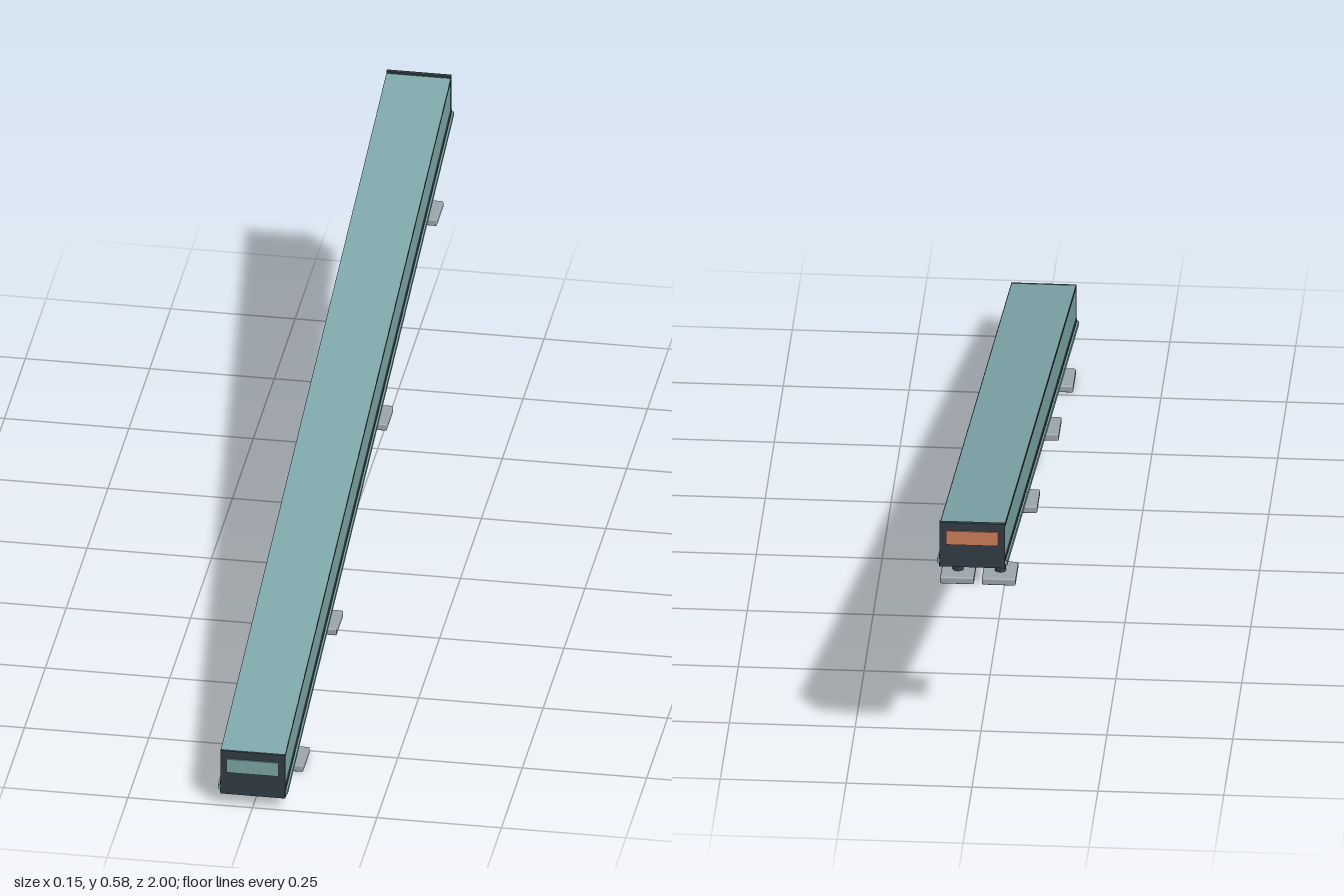
import * as THREE from 'three';
import { RoundedBoxGeometry } from 'three/addons/geometries/RoundedBoxGeometry.js';

const SLOPE = 0.23; // rise per unit towards the back
const BASE = 0.255; // underside height at z = 0
const underside = z => BASE - SLOPE * z;

export function createModel() {
  const group = new THREE.Group();
  const mat = color => new THREE.MeshStandardMaterial({ color });
  const teal = mat(0x7fa8ab), dark = mat(0x343e47), under = mat(0x2a3136);
  const grey = mat(0x9ca7ad), orange = mat(0xd0805c);

  const add = (name, geometry, material, x = 0, y = 0, z = 0) => {
    const mesh = new THREE.Mesh(geometry, material);
    mesh.name = name;
    mesh.position.set(x, y, z);
    group.add(mesh);
  };

  // Box with vertical ends whose long faces follow the slope; y0, y1 are above the underside
  const sloped = (name, material, x, width, y0, y1, z0 = -0.994, z1 = 0.994) => {
    const g = new THREE.BoxGeometry(width, y1 - y0, z1 - z0);
    g.translate(x, (y0 + y1) / 2, (z0 + z1) / 2);
    const p = g.attributes.position;
    for (let i = 0; i < p.count; i++) p.setY(i, p.getY(i) + underside(p.getZ(i)));
    g.computeVertexNormals();
    add(name, g, material);
  };

  // Enclosed gallery: floor and glazed roof
  sloped('floor', under, 0, 0.128, 0, 0.02);
  sloped('roof', teal, 0, 0.128, 0.088, 0.095);

  // Side walls, trims and handrails, mirrored
  for (const s of [-1, 1]) {
    sloped('sideWall', teal, s * 0.0615, 0.005, 0.02, 0.088);
    sloped('lowerTrim', dark, s * 0.0645, 0.004, 0.018, 0.023);
    sloped('sideRail', teal, s * 0.0665, 0.007, 0.008, 0.017);
    sloped('bottomTrim', dark, s * 0.0645, 0.004, 0.001, 0.006);
    sloped('roofTrim', dark, s * 0.0635, 0.003, 0.09, 0.094);
  }

  // End panels, each with a wide window
  for (const [s, windowMat] of [[1, teal], [-1, orange]]) {
    const y = underside(s);
    add('endPanel', new THREE.BoxGeometry(0.13, 0.097, 0.008), dark, 0, y + 0.0485, s * 0.993);
    add('endWindow', new THREE.BoxGeometry(0.104, 0.03, 0.006), windowMat, 0, y + 0.065, s * 0.997);
  }

  // Support posts on flat pads, in pairs along the slope
  const postGeo = new THREE.CylinderGeometry(0.011, 0.011, 0.066, 16);
  const padGeo = new RoundedBoxGeometry(0.067, 0.015, 0.08, 2, 0.003);
  for (const z of [0.8, 0.4, -0.2, -0.8]) {
    const ground = underside(z) - 0.071;
    for (const s of [-1, 1]) {
      add('supportPost', postGeo, dark, s * 0.042, ground + 0.045, z);
      add('footPad', padGeo, grey, s * 0.0415, ground + 0.0075, z);
    }
  }
  return group;
}
